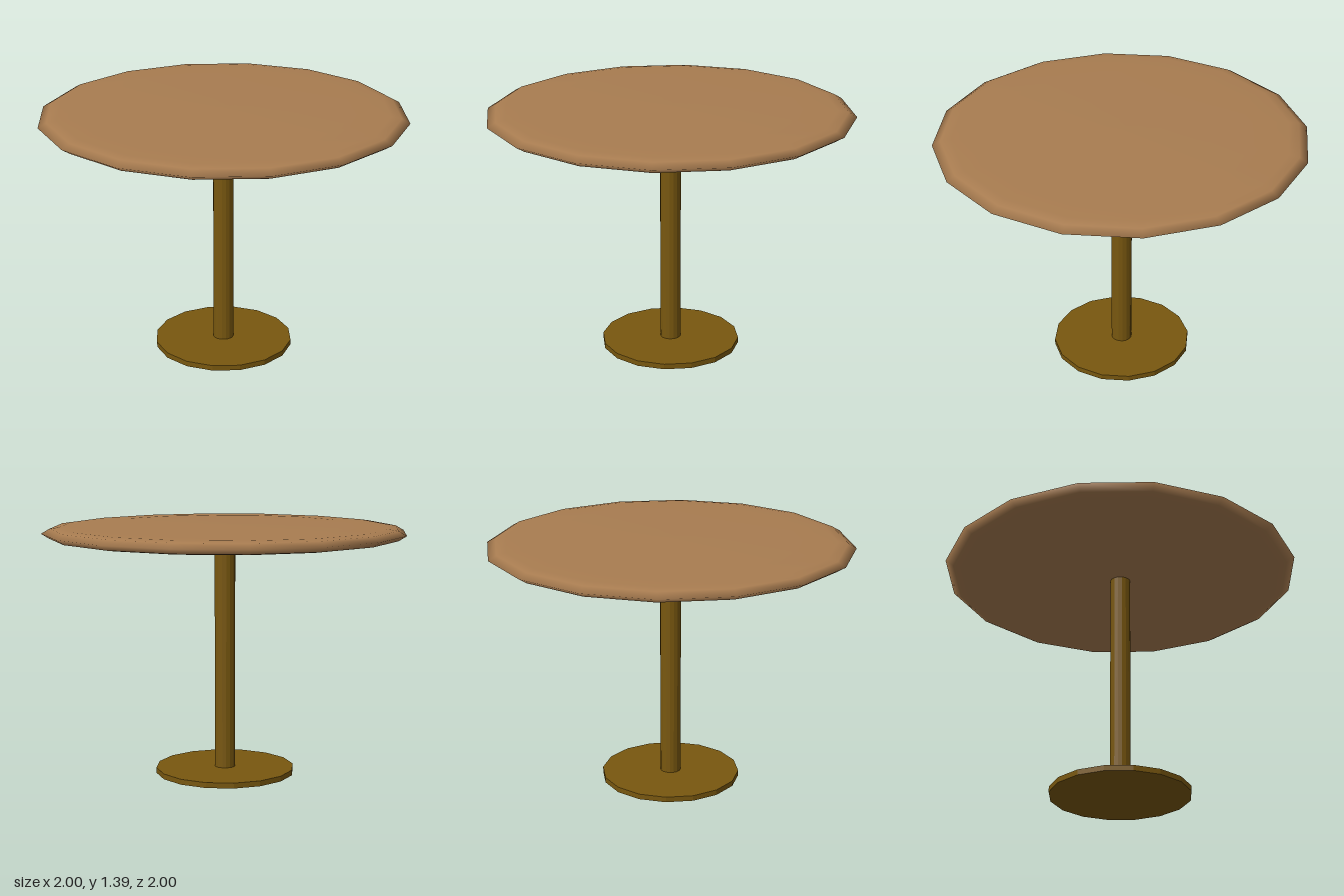
import * as THREE from 'three';

const SIDES = 16;

export function createModel() {
  const group = new THREE.Group();
  const wood = new THREE.MeshStandardMaterial({ color: 0xa87c50 });
  wood.name = 'light wood';
  const brass = new THREE.MeshStandardMaterial({ color: 0x78570f, flatShading: true });
  brass.name = 'dark brass';

  const add = (name, geometry, material, y = 0) => {
    const mesh = new THREE.Mesh(geometry, material);
    mesh.name = name;
    mesh.position.y = y;
    group.add(mesh);
  };

  // Smooth top: flat underside, pointed rim, slightly domed upper face
  const profile = [
    [0, 1.308], [0.7, 1.308], [0.9, 1.31], [0.955, 1.318], [1, 1.346],
    [0.955, 1.372], [0.9, 1.38], [0.7, 1.386], [0, 1.387],
  ].map(([r, y]) => new THREE.Vector2(r, y));
  add('tabletop', new THREE.LatheGeometry(profile, SIDES), wood);

  // Faceted column, reaching just into the top
  add('column', new THREE.CylinderGeometry(0.057, 0.057, 1.29, SIDES), brass, 0.675);

  // Thin foot disc
  add('base', new THREE.CylinderGeometry(0.386, 0.386, 0.03, SIDES), brass, 0.015);

  return group;
}
